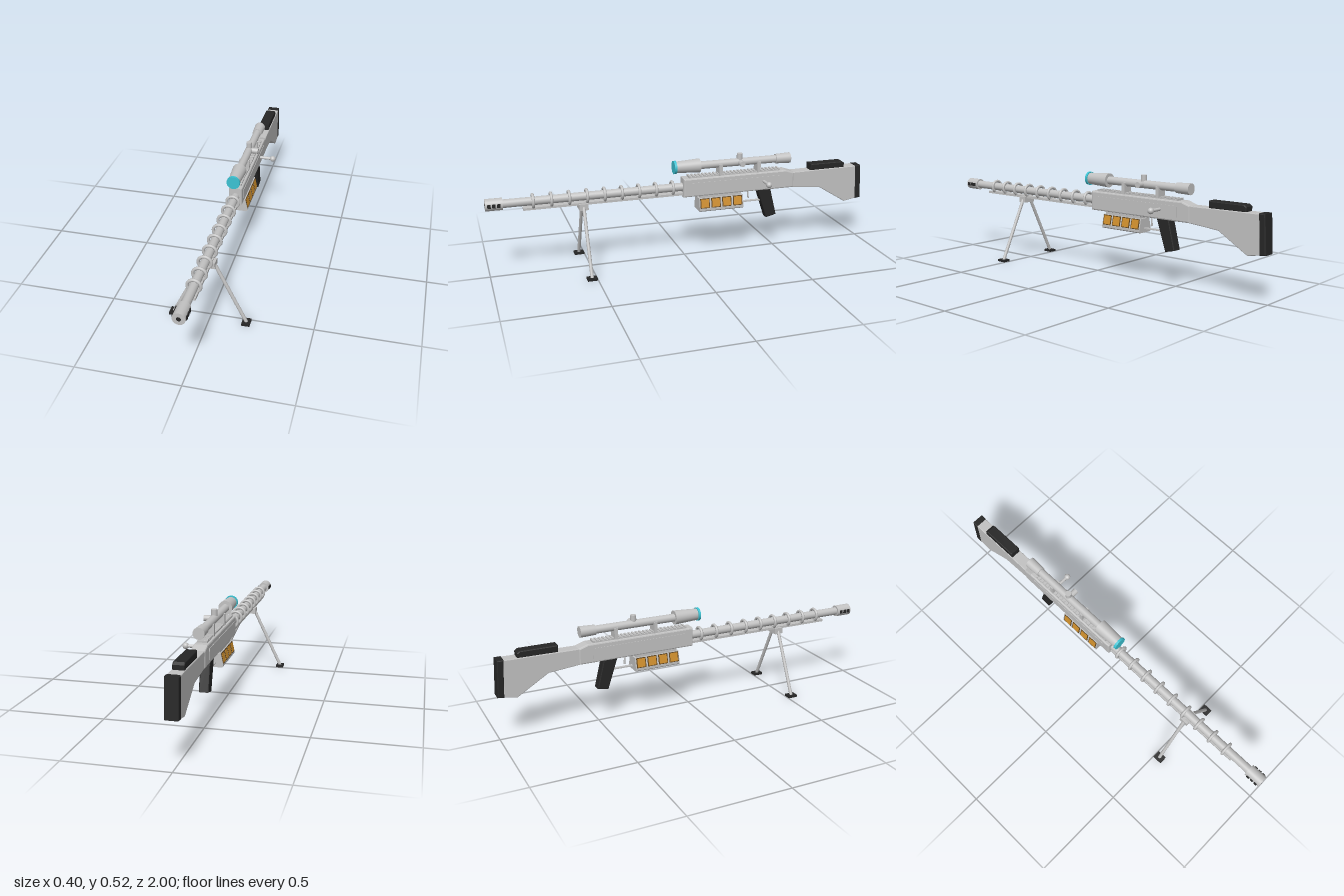
import * as THREE from 'three';

const mat = (name, color) => {
  const m = new THREE.MeshStandardMaterial({ color });
  m.name = name;
  return m;
};

export function createModel() {
  const model = new THREE.Group();
  model.name = 'longBarrelProp';
  const metal = mat('lightGrey', 0xc2c2c2);
  const black = mat('black', 0x262626);
  const glass = mat('cyanGlass', 0x3cc3d3);
  const orange = mat('orange', 0xd08f2c);
  const brown = mat('darkBrown', 0x5f431c);
  const axisY = 0.373, scopeY = 0.479;

  const add = (name, geo, material, x = 0, y = 0, z = 0) => {
    const m = new THREE.Mesh(geo, material);
    m.name = name;
    m.position.set(x, y, z);
    model.add(m);
    return m;
  };
  const box = (name, material, w, h, d, x, y, z) =>
    add(name, new THREE.BoxGeometry(w, h, d), material, x, y, z);
  // Cylinder along z between two z values
  const rod = (name, material, zBack, zFront, rBack, rFront, y) => {
    const g = new THREE.CylinderGeometry(rFront, rBack, zFront - zBack, 32).rotateX(Math.PI / 2);
    return add(name, g, material, 0, y, (zBack + zFront) / 2);
  };
  // Round bar between two points
  const bar = (name, material, a, b, r) => {
    const dir = b.clone().sub(a);
    const m = add(name, new THREE.CylinderGeometry(r, r, dir.length(), 16), material);
    m.position.copy(a).add(b).multiplyScalar(0.5);
    m.quaternion.setFromUnitVectors(new THREE.Vector3(0, 1, 0), dir.normalize());
    return m;
  };
  // Side profile of [z, y] points, extruded across x with bevelled edges
  const slab = (name, material, pts, half, bevel) => {
    const shape = new THREE.Shape(pts.map(p => new THREE.Vector2(...p)));
    const depth = 2 * (half - bevel);
    const g = new THREE.ExtrudeGeometry(shape, {
      depth, bevelEnabled: true, bevelSize: bevel, bevelThickness: bevel, bevelOffset: -bevel, bevelSegments: 2,
    });
    g.translate(0, 0, -depth / 2).rotateY(-Math.PI / 2);
    return add(name, g, material);
  };

  // Barrel with evenly spaced rings
  rod('barrel', metal, 0, 0.93, 0.021, 0.021, axisY);
  for (let i = 0; i < 9; i++) {
    add('barrelRing', new THREE.TorusGeometry(0.031, 0.0075, 12, 40), metal, 0, axisY, 0.065 + i * 0.0882);
  }
  box('underRail', metal, 0.04, 0.012, 0.82, 0, 0.339, 0.41);

  // Muzzle with side ports and bore
  rod('muzzle', metal, 0.915, 0.999, 0.03, 0.03, axisY);
  rod('bore', black, 0.99, 1, 0.0105, 0.0105, axisY);
  for (const s of [-1, 1]) for (const z of [0.935, 0.958, 0.981]) {
    box('muzzlePort', black, 0.008, 0.018, 0.016, s * 0.029, axisY, z);
  }

  // Receiver
  slab('receiver', metal, [[0.012, 0.323], [0.012, 0.421], [-0.55, 0.421], [-0.597, 0.405], [-0.597, 0.323]], 0.034, 0.007);
  for (const s of [-1, 1]) box('sidePanel', metal, 0.006, 0.053, 0.495, s * 0.0335, 0.371, -0.277);
  box('topRail', metal, 0.046, 0.008, 0.5, 0, 0.422, -0.27);
  for (let i = 0; i < 26; i++) box('railTooth', metal, 0.046, 0.006, 0.01, 0, 0.428, -0.025 - i * 0.0196);

  // Side handle
  bar('sideHandle', metal, new THREE.Vector3(0.03, axisY, -0.425), new THREE.Vector3(0.105, axisY, -0.425), 0.008);
  add('handleKnob', new THREE.SphereGeometry(0.0155, 24, 16), metal, 0.106, axisY, -0.425);

  // Scope
  rod('scopeFront', metal, -0.08, 0.048, 0.036, 0.029, scopeY);
  rod('scopeGlass', glass, 0.046, 0.058, 0.034, 0.034, scopeY);
  rod('scopeTube', metal, -0.52, -0.07, 0.02, 0.02, scopeY);
  rod('scopeEyepiece', metal, -0.58, -0.5, 0.028, 0.025, scopeY);
  bar('topTurret', metal, new THREE.Vector3(0, scopeY, -0.3), new THREE.Vector3(0, 0.525, -0.3), 0.015);
  bar('sideTurret', metal, new THREE.Vector3(0, scopeY, -0.3), new THREE.Vector3(0.05, scopeY, -0.3), 0.015);
  for (const z of [-0.19, -0.4]) box('scopeMount', metal, 0.052, 0.06, 0.018, 0, 0.449, z);

  // Flared lower case with four windows on each side
  const section = [[0.033, 0.311], [0.045, 0.257], [0.045, 0.246], [0.04, 0.241]];
  const outline = [...section, ...section.map(([x, y]) => [-x, y]).reverse()];
  const caseGeo = new THREE.ExtrudeGeometry(
    new THREE.Shape(outline.map(p => new THREE.Vector2(...p))), { depth: 0.24, bevelEnabled: false });
  add('lowerCase', caseGeo, metal, 0, 0, -0.31);
  box('caseNeck', metal, 0.056, 0.03, 0.22, 0, 0.318, -0.19);
  const tilt = Math.atan2(0.012, 0.054);
  for (const s of [-1, 1]) for (let i = 0; i < 4; i++) {
    const z = -0.1 - i * 0.0595;
    box('windowFrame', brown, 0.004, 0.051, 0.05, s * 0.0391, 0.284, z).rotation.z = s * tilt;
    box('windowPane', orange, 0.006, 0.043, 0.041, s * 0.0393, 0.284, z).rotation.z = s * tilt;
  }

  // Grip, trigger and guard
  slab('grip', black, [[-0.395, 0.33], [-0.468, 0.33], [-0.506, 0.178], [-0.45, 0.165]], 0.024, 0.005);
  box('triggerGuard', metal, 0.016, 0.006, 0.115, 0, 0.262, -0.362);
  bar('trigger', metal, new THREE.Vector3(0, 0.325, -0.35), new THREE.Vector3(0, 0.277, -0.353), 0.004);

  // Stock, butt pad and cheek rest
  slab('stock', metal, [[-0.59, 0.405], [-0.962, 0.409], [-0.972, 0.225], [-0.905, 0.213], [-0.75, 0.308], [-0.59, 0.323]], 0.03, 0.004);
  slab('buttPad', black, [[-0.958, 0.411], [-0.99, 0.411], [-1, 0.227], [-0.968, 0.223]], 0.032, 0.005);
  slab('cheekRest', black, [[-0.695, 0.405], [-0.695, 0.44], [-0.88, 0.44], [-0.893, 0.43], [-0.893, 0.405]], 0.027, 0.005);

  // Bipod
  box('bipodMount', metal, 0.068, 0.032, 0.046, 0, 0.325, 0.527);
  for (const s of [-1, 1]) {
    bar('bipodLeg', metal, new THREE.Vector3(s * 0.026, 0.325, 0.527), new THREE.Vector3(s * 0.179, 0.008, 0.527), 0.0085);
    box('bipodFoot', black, 0.04, 0.011, 0.05, s * 0.179, 0.0055, 0.527);
  }
  return model;
}
